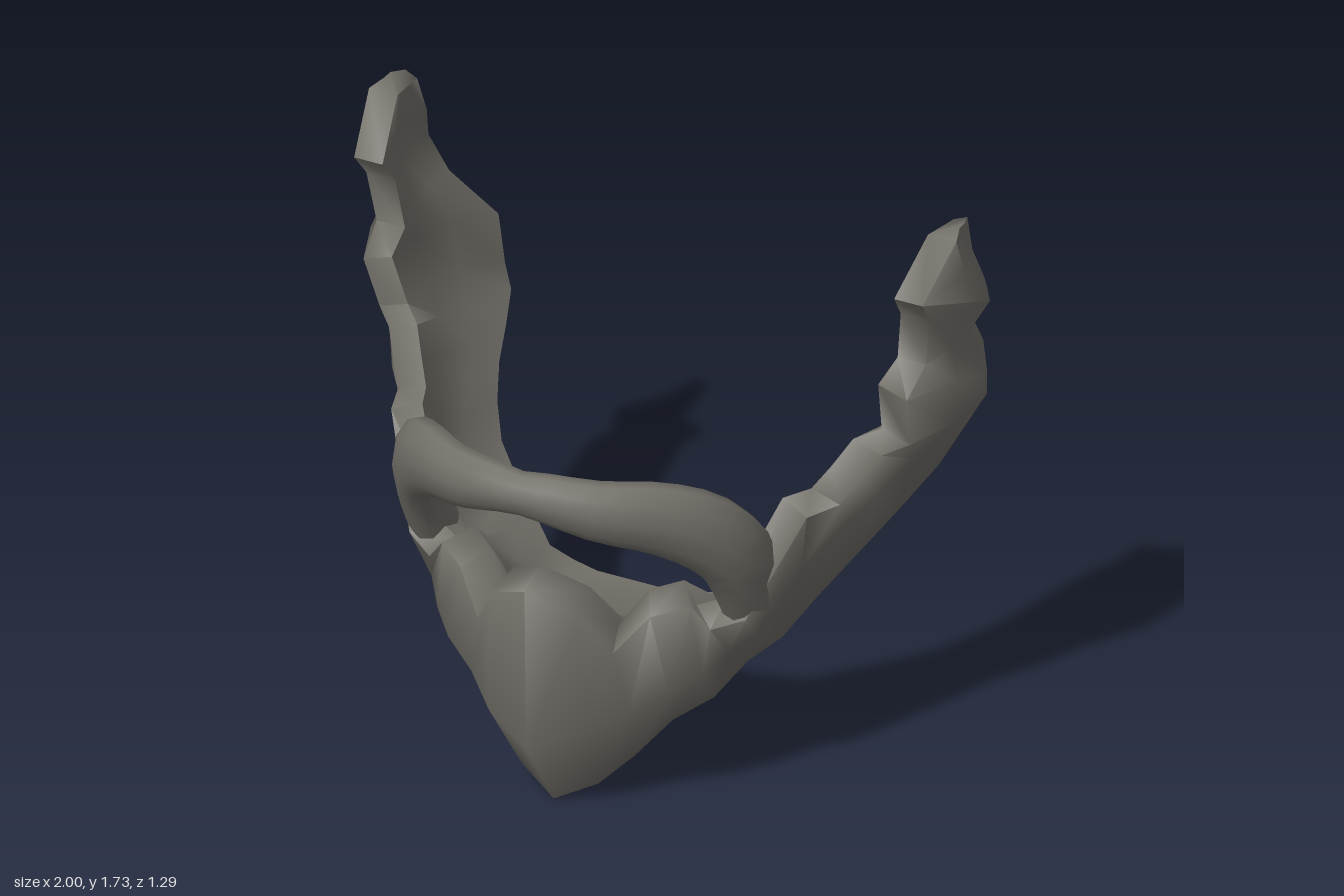
import * as THREE from 'three';
import { toCreasedNormals } from 'three/addons/utils/BufferGeometryUtils.js';

const V = (x, y, z) => new THREE.Vector3(x, y, z);
const toPoints = (a) => a.map((p) => V(...p));
const mirror = (p) => V(-p.x, p.y, p.z);

// Rails running from the chin centre along the jaw to the top of the left sideburn.
const frontEdge = toPoints([
  [0, 0.8, 0.47], [0.12, 0.73, 0.41], [0.18, 0.59, 0.35], [0.25, 0.7, 0.3], [0.33, 0.72, 0.24], [0.37, 0.65, 0.24],
  [0.45, 0.68, 0.21], [0.57, 0.98, 0.1], [0.61, 0.97, 0], [0.65, 1.03, -0.05], [0.69, 1.1, -0.1], [0.75, 1.12, -0.16],
  [0.77, 1.3, -0.1], [0.78, 1.34, -0.2], [0.8, 1.5, -0.18], [0.81, 1.58, -0.12], [0.84, 1.72, -0.27],
]);
const cheek = toPoints([
  [0, 0.25, 0.57], [0.15, 0.31, 0.51], [0.25, 0.36, 0.42], [0.35, 0.42, 0.37], [0.42, 0.46, 0.3], [0.47, 0.52, 0.24],
  [0.54, 0.58, 0.2], [0.63, 0.76, 0.1], [0.7, 0.86, -0.03], [0.77, 0.94, -0.1], [0.83, 1.02, -0.2], [0.92, 1.12, -0.28],
  [0.93, 1.26, -0.28], [0.9, 1.35, -0.3], [1, 1.51, -0.34], [0.94, 1.61, -0.3], [0.91, 1.73, -0.33],
]);
const jaw = toPoints([
  [0, 0, 0.4], [0.12, 0.06, 0.36], [0.21, 0.15, 0.31], [0.3, 0.26, 0.25], [0.4, 0.33, 0.19], [0.47, 0.43, 0.12],
  [0.55, 0.5, 0.06], [0.62, 0.61, -0.02], [0.69, 0.71, -0.12], [0.76, 0.81, -0.22], [0.83, 0.92, -0.36], [0.94, 1.14, -0.44],
  [0.94, 1.21, -0.44], [0.9, 1.35, -0.41], [0.95, 1.5, -0.42], [0.92, 1.61, -0.38], [0.91, 1.73, -0.36],
]);
const throat = toPoints([
  [0, 0.45, -0.1], [0.12, 0.45, -0.1], [0.2, 0.46, -0.11], [0.28, 0.48, -0.12], [0.36, 0.55, -0.17], [0.43, 0.61, -0.21],
  [0.51, 0.68, -0.27], [0.56, 0.76, -0.34], [0.6, 0.83, -0.43], [0.63, 0.89, -0.53], [0.66, 0.95, -0.62], [0.69, 1.02, -0.64],
  [0.69, 1.2, -0.6], [0.8, 1.36, -0.51], [0.85, 1.48, -0.48], [0.84, 1.58, -0.45], [0.85, 1.7, -0.41],
]);

// Closed skin over matching rings of points, with flat ends.
function loft(rings, crease) {
  const n = rings[0].length;
  const index = [];
  for (let i = 0; i < rings.length - 1; i++) {
    for (let j = 0; j < n; j++) {
      const a = i * n + j, b = i * n + (j + 1) % n;
      index.push(a, b, a + n, b, b + n, a + n);
    }
  }
  const end = (rings.length - 1) * n;
  for (let j = 1; j < n - 1; j++) index.push(0, j + 1, j, end, end + j, end + j + 1);
  const geo = new THREE.BufferGeometry().setFromPoints(rings.flat());
  geo.setIndex(index);
  return toCreasedNormals(geo, crease);
}

// Beard section at one station: outer side down to the throat, then a slightly hollowed inner side.
function beardRing(i, side) {
  const f = frontEdge[i], j = jaw[i], t = throat[i];
  const turn = Math.min(i / 8, 1) * Math.PI / 2;
  const lip = f.clone().add(V(0.09 * Math.sin(turn), i > 12 ? 0 : -0.03, 0.11 * Math.cos(turn)));
  const under = j.clone().lerp(t, 0.5);
  if (i < 9) under.add(V(0.01, -0.01, -0.01));
  else if (i < 13) under.add(V(0.03, 0, -0.08));
  else under.add(V(0.01, 0, -0.03));
  const inner = [0.3, 0.7].map((k) => t.clone().lerp(f, k).lerp(j, i < 5 ? 0.15 : 0.2));
  const ring = [f, lip, cheek[i], j, under, t, ...inner];
  if (i === 0) ring.forEach((p) => { p.x = 0; });
  return side < 0 ? ring.map(mirror) : ring;
}

function beardGeometry() {
  const rings = [];
  for (let i = -16; i <= 16; i++) rings.push(beardRing(Math.abs(i), i));
  return loft(rings, 1.4);
}

// Moustache: a flattened arch, thin outwards and deep along the face, rooted in the jaw.
function moustacheGeometry() {
  const half = toPoints([
    [0.08, 1.105, 0.595], [0.22, 1.075, 0.545], [0.35, 1.04, 0.45], [0.445, 0.975, 0.355],
    [0.5, 0.87, 0.265], [0.51, 0.74, 0.195], [0.5, 0.59, 0.13],
  ]);
  const path = new THREE.CatmullRomCurve3([
    ...half.map(mirror).reverse(), V(0, 1.105, 0.6), ...half,
  ]);
  const rings = [];
  const steps = 28, sides = 10;
  for (let i = 0; i <= steps; i++) {
    const u = i / steps, p = path.getPointAt(u);
    const swell = Math.sin(Math.abs(2 * u - 1) * Math.PI * 0.82);
    const out = V(p.x, 0, p.z).normalize();
    const deep = path.getTangentAt(u).cross(out).normalize();
    const thin = 0.05 + 0.022 * swell;
    const wide = 0.067 + 0.05 * swell;
    const ring = [];
    for (let k = 0; k < sides; k++) {
      const a = k / sides * Math.PI * 2;
      ring.push(p.clone().addScaledVector(out, thin * Math.cos(a)).addScaledVector(deep, wide * Math.sin(a)));
    }
    rings.push(ring);
  }
  return loft(rings, 1.1);
}

export function createModel() {
  const hair = new THREE.MeshStandardMaterial({ color: 0x74716a });
  hair.name = 'ash grey hair';
  const model = new THREE.Group();
  model.name = 'beardAndMoustache';
  const add = (name, geometry) => {
    const mesh = new THREE.Mesh(geometry, hair);
    mesh.name = name;
    model.add(mesh);
  };
  add('beard', beardGeometry());
  add('moustache', moustacheGeometry());
  return model;
}
